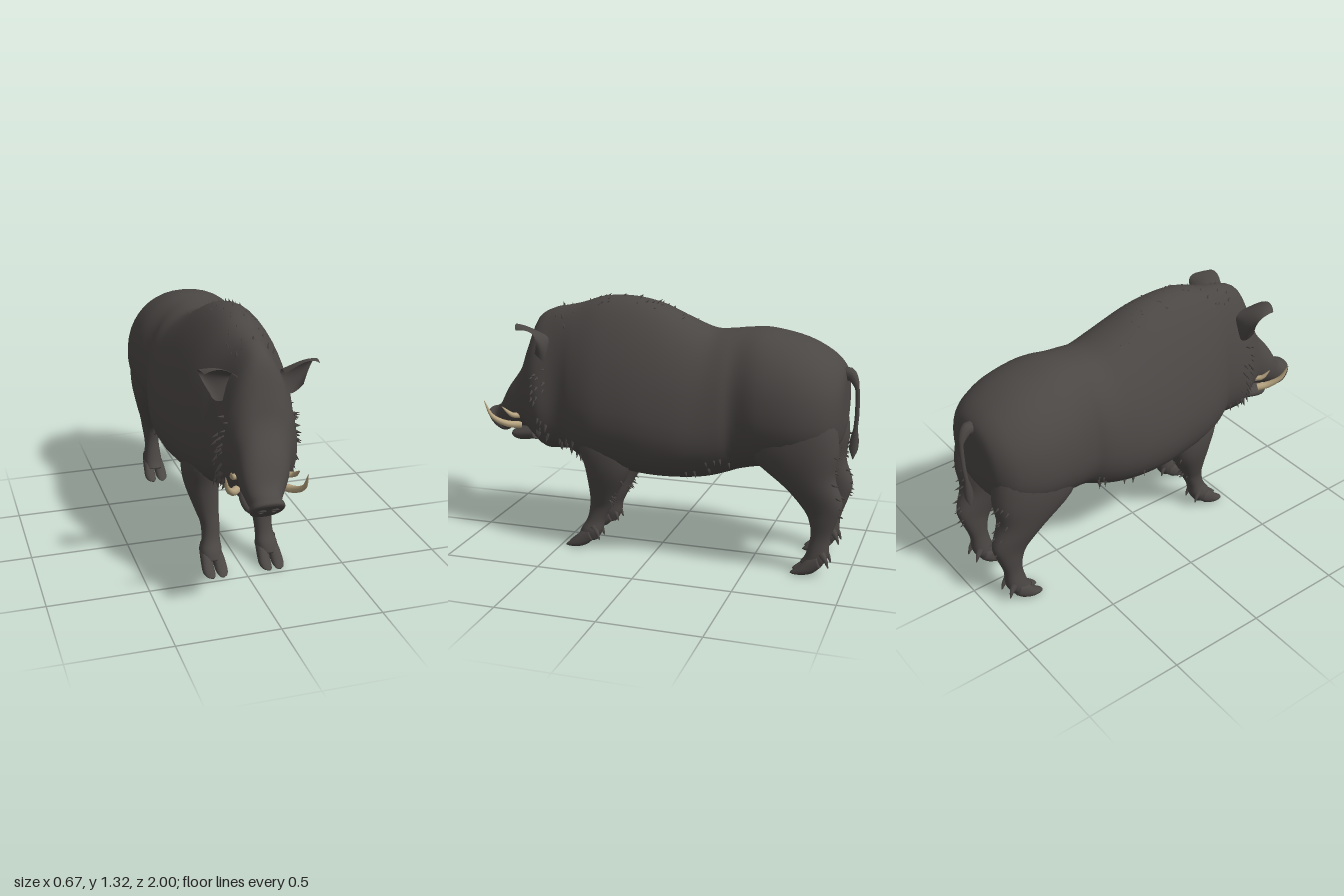
import * as THREE from 'three';
import { mergeGeometries } from 'three/addons/utils/BufferGeometryUtils.js';

const V = (x, y, z) => new THREE.Vector3(x, y, z);

// Section: [z, y of upper/front point, z, y of lower/rear point, half width, centre x, taper]
function sectionAt(rows, t) {
  const n = rows.length - 1, i = Math.min(Math.floor(t), n - 1), f = t - i;
  const a = rows[Math.max(i - 1, 0)], b = rows[i], c = rows[i + 1], d = rows[Math.min(i + 2, n)];
  return b.map((q, k) => {
    const m0 = (c[k] - a[k]) / 2, m1 = (d[k] - q) / 2, e = c[k] - q;
    return q + f * (m0 + f * (3 * e - 2 * m0 - m1 + f * (m0 + m1 - 2 * e)));
  });
}
const pow = (v) => Math.sign(v) * Math.abs(v) ** 0.9;

function surfacePoint(rows, t, angle) {
  const [z1, y1, z2, y2, w, x, taper] = sectionAt(rows, t);
  const s = pow(Math.sin(angle)), c = pow(Math.cos(angle));
  return V(x + w * c * (1 - taper * s), (y1 + y2) / 2 + s * (y1 - y2) / 2, (z1 + z2) / 2 + s * (z1 - z2) / 2);
}

// Smooth closed skin over a list of sections
function loft(rows, sides = 32, steps = 4) {
  const pos = [], idx = [], rings = (rows.length - 1) * steps;
  for (let i = 0; i <= rings; i++)
    for (let j = 0; j < sides; j++)
      pos.push(...surfacePoint(rows, i / steps, (j / sides) * Math.PI * 2).toArray());
  for (let i = 0; i < rings; i++)
    for (let j = 0; j < sides; j++) {
      const a = i * sides + j, b = i * sides + (j + 1) % sides;
      idx.push(a, b, b + sides, a, b + sides, a + sides);
    }
  [0, rings].forEach((ring, end) => {
    const [z1, y1, z2, y2, , x] = rows[end ? rows.length - 1 : 0], c = pos.length / 3;
    pos.push(x, (y1 + y2) / 2, (z1 + z2) / 2);
    for (let j = 0; j < sides; j++) {
      const a = ring * sides + j, b = ring * sides + (j + 1) % sides;
      idx.push(c, end ? a : b, end ? b : a);
    }
  });
  const g = new THREE.BufferGeometry();
  g.setAttribute('position', new THREE.Float32BufferAttribute(pos, 3));
  g.setIndex(idx);
  g.computeVertexNormals();
  return g;
}

// Tube whose radius follows a function of its length
function taperedTube(points, radius, steps = 20, sides = 10) {
  const curve = new THREE.CatmullRomCurve3(points), g = new THREE.TubeGeometry(curve, steps, 1, sides);
  const p = g.attributes.position, v = V(0, 0, 0);
  for (let i = 0; i < p.count; i++) {
    const t = Math.floor(i / (sides + 1)) / steps, c = curve.getPointAt(t);
    v.fromBufferAttribute(p, i).sub(c).multiplyScalar(radius(t)).add(c);
    p.setXYZ(i, v.x, v.y, v.z);
  }
  return g;
}

let seed = 7;
const rand = (lo, hi) => lo + (hi - lo) * ((seed = (seed * 16807) % 2147483647) / 2147483647);

// Short bristles scattered over part of a loft
function bristles(rows, t0, t1, a0, a1, count, length, lean) {
  const list = [];
  for (let i = 0; i < count; i++) {
    const t = rand(t0, t1), a = rand(a0, a1), p = surfacePoint(rows, t, a);
    const mid = surfacePoint(rows, t, 0).add(surfacePoint(rows, t, Math.PI)).multiplyScalar(0.5);
    const dir = p.clone().sub(mid).normalize().add(lean).normalize(), len = length * rand(0.7, 1.3);
    const g = new THREE.ConeGeometry(len * 0.25, len, 5);
    g.applyQuaternion(new THREE.Quaternion().setFromUnitVectors(V(0, 1, 0), dir));
    p.addScaledVector(dir, len * 0.25);
    list.push(g.translate(p.x, p.y, p.z));
  }
  return mergeGeometries(list);
}

// Deep cupped ear, opening forward and down, with a pointed upper tip
function ear(side) {
  const g = new THREE.PlaneGeometry(2, 1, 16, 12), p = g.attributes.position;
  const across = V(0.05, -0.84, -0.58), along = V(0.155, 0.04, 0.012), front = V(-0.1, -0.52, 0.78);
  for (let i = 0; i < p.count; i++) {
    const v = p.getX(i), u = p.getY(i) + 0.5;
    const w = 0.07 + 0.042 * Math.sin(Math.PI * Math.min(u * 0.85, 1)) - 0.025 * u ** 5;
    const q = V(0.12, 1.09, 0.575).addScaledVector(along, u * (1 - 0.17 * v - 0.13 * v * v))
      .addScaledVector(across, v * w).addScaledVector(front, 0.075 * v * v);
    p.setXYZ(i, q.x * side, q.y, q.z);
  }
  g.computeVertexNormals();
  return g;
}

export function createModel() {
  const model = new THREE.Group();
  const hide = new THREE.MeshStandardMaterial({ color: 0x4b4745, side: THREE.DoubleSide });
  hide.name = 'dark hide';
  const ivory = new THREE.MeshStandardMaterial({ color: 0xb9a682 });
  ivory.name = 'ivory';
  const add = (name, geometry, material = hide, parent = model) => {
    const m = new THREE.Mesh(geometry, material);
    m.name = name;
    parent.add(m);
    return m;
  };

  // Barrel from rump to shoulders, upright sections
  const barrel = [
    [-0.937, 0.96, 0.74, 0.12, 0.05], [-0.918, 1.02, 0.64, 0.2, 0.05], [-0.85, 1.085, 0.57, 0.275, 0.08],
    [-0.72, 1.148, 0.52, 0.316, 0.08], [-0.55, 1.183, 0.5, 0.312, 0.08], [-0.43, 1.177, 0.47, 0.278, 0.08],
    [-0.36, 1.168, 0.445, 0.293, 0.1], [-0.27, 1.165, 0.42, 0.308, 0.16], [-0.15, 1.21, 0.405, 0.32, 0.24],
    [0, 1.275, 0.4, 0.314, 0.32], [0.15, 1.305, 0.41, 0.297, 0.34], [0.3, 1.3, 0.43, 0.272, 0.34],
    [0.42, 1.262, 0.46, 0.232, 0.3],
  ].map(([z, top, low, w, taper]) => [z, top, z, low, w, 0, taper]);
  // Neck and head, turned slightly to its right, ending in a tilted snout
  const skin = [
    ...barrel, [0.5, 1.243, 0.47, 0.485, 0.2, 0, 0.3], [0.57, 1.228, 0.52, 0.485, 0.185, 0, 0.34],
    [0.66, 1.175, 0.61, 0.485, 0.18, 0, 0.34], [0.72, 1.03, 0.68, 0.53, 0.155, -0.005, 0.16],
    [0.765, 0.91, 0.735, 0.575, 0.134, -0.015, 0.08], [0.855, 0.79, 0.8, 0.57, 0.115, -0.035, 0.05],
    [0.915, 0.69, 0.85, 0.555, 0.088, -0.05, 0], [0.955, 0.66, 0.88, 0.54, 0.074, -0.058, 0],
    [0.985, 0.65, 0.89, 0.532, 0.08, -0.06, 0], [1, 0.638, 0.902, 0.53, 0.077, -0.06, 0],
    [0.996, 0.622, 0.914, 0.542, 0.058, -0.06, 0],
  ];
  add('bodyAndHead', loft(skin, 40));
  add('withersBristles', bristles(skin, 8, 11.4, 1.1, 2.04, 30, 0.018, V(0, 0.2, -1.4)));
  add('napeBristles', bristles(skin, 11.8, 14, 0.8, 2.34, 16, 0.024, V(0, 0.6, 0.2)));
  add('chestBristles', bristles(skin, 11, 14, -2.4, -0.74, 36, 0.036, V(0, -0.6, 0.1)));
  for (const s of [-1, 1]) {
    const [flank, cheek] = s < 0 ? [[-2.5, -2.2], [Math.PI - 0.2, Math.PI + 0.85]] : [[-0.95, -0.65], [-0.85, 0.2]];
    add('flankBristles', bristles(skin, 4.5, 8, ...flank, 8, 0.035, V(0, -0.6, -0.6)));
    add('cheekBristles', bristles(skin, 14.4, 15.3, ...cheek, 24, 0.036, V(0, -0.3, 0)));
    const nostril = add('nostril', new THREE.TorusGeometry(0.016, 0.005, 8, 16));
    nostril.position.set(-0.06 + s * 0.03, 0.582, 0.956);
    nostril.rotation.x = 0.82;
    add('ear', ear(s));
  }
  add('lowerJaw', loft([
    [0.7, 0.595, 0.68, 0.515, 0.1, -0.015, 0], [0.75, 0.58, 0.73, 0.508, 0.098, -0.025, 0],
    [0.81, 0.56, 0.79, 0.498, 0.085, -0.035, 0], [0.845, 0.545, 0.835, 0.505, 0.06, -0.04, 0],
    [0.86, 0.535, 0.855, 0.517, 0.025, -0.045, 0],
  ], 24));

  // Tusks: long lower pair and short upper pair
  const tusk = (name, r, ...pts) => add(name, taperedTube(pts, (t) => r * (1 - t ** 1.8) + 0.0015), ivory);
  tusk('leftTusk', 0.018, V(0.07, 0.6, 0.76), V(0.105, 0.61, 0.83), V(0.128, 0.65, 0.9), V(0.128, 0.73, 0.945));
  tusk('rightTusk', 0.018, V(-0.14, 0.6, 0.74), V(-0.172, 0.615, 0.79), V(-0.212, 0.66, 0.84), V(-0.23, 0.73, 0.87));
  tusk('leftShortTusk', 0.014, V(0.085, 0.655, 0.76), V(0.12, 0.665, 0.79), V(0.125, 0.705, 0.845));
  tusk('rightShortTusk', 0.014, V(-0.13, 0.66, 0.72), V(-0.16, 0.67, 0.75), V(-0.18, 0.71, 0.785));

  // Legs: [front z, y, rear z, y, half width, centre x]
  const frontRows = [
    [0.38, 0.66, 0.12, 0.66, 0.08, 0.168], [0.392, 0.56, 0.1, 0.54, 0.092, 0.172], [0.36, 0.44, 0.132, 0.42, 0.085, 0.168],
    [0.345, 0.3, 0.205, 0.29, 0.06, 0.15], [0.35, 0.22, 0.238, 0.22, 0.047, 0.138], [0.365, 0.15, 0.272, 0.15, 0.045, 0.14],
    [0.395, 0.1, 0.283, 0.09, 0.054, 0.146], [0.41, 0.06, 0.31, 0.04, 0.048, 0.147],
  ];
  const hindRows = [
    [-0.5, 0.8, -0.9, 0.83, 0.118, 0.17], [-0.47, 0.7, -0.925, 0.73, 0.13, 0.17], [-0.51, 0.58, -0.935, 0.62, 0.122, 0.17],
    [-0.68, 0.44, -0.922, 0.5, 0.088, 0.172], [-0.775, 0.33, -0.96, 0.38, 0.056, 0.168], [-0.805, 0.26, -0.942, 0.295, 0.046, 0.165],
    [-0.81, 0.19, -0.907, 0.19, 0.04, 0.162], [-0.79, 0.1, -0.9, 0.095, 0.05, 0.162], [-0.765, 0.06, -0.87, 0.04, 0.048, 0.162],
  ];
  for (const s of [-1, 1])
    for (const [name, base, tip] of [['frontLeg', frontRows, 0.475], ['hindLeg', hindRows, -0.72]]) {
      const leg = new THREE.Group();
      leg.name = name;
      model.add(leg);
      const rows = base.map((r) => [...r.slice(0, 5), r[5] * s, 0]), last = rows.length - 1;
      const footX = rows[last][5];
      add('limb', loft(rows, 24), hide, leg);
      add('legBristles', bristles(rows, 1.5, last - 3, -2.2, -0.9, 16, 0.028, V(0, -0.6, 0)), hide, leg);
      for (const k of [-1, 1]) {
        // Cloven toe and dewclaw
        const x = footX + k * 0.031;
        add('hoof', loft([
          [tip - 0.13, 0.11, tip - 0.15, 0.045, 0.024, x, 0], [tip - 0.085, 0.085, tip - 0.11, 0.012, 0.029, x, 0],
          [tip - 0.045, 0.045, tip - 0.06, 0, 0.03, x + k * 0.002, 0.1], [tip - 0.01, 0.015, tip - 0.02, 0, 0.022, x, 0.1],
          [tip, 0.006, tip, 0, 0.008, x - k * 0.004, 0],
        ], 16), hide, leg);
        add('dewclaw', taperedTube([V(x, 0.12, tip - 0.15), V(x + k * 0.006, 0.085, tip - 0.175), V(x + k * 0.008, 0.05, tip - 0.188)],
          (t) => 0.018 * (1 - t) + 0.003, 8, 8), hide, leg);
      }
    }

  // Thin hanging tail with a wide root and a tuft
  add('tail', taperedTube(
    [V(0, 0.97, -0.91), V(0, 0.985, -0.94), V(0, 0.93, -0.978), V(-0.005, 0.8, -0.987), V(-0.01, 0.68, -0.98), V(-0.01, 0.55, -0.975)],
    (t) => 0.011 + 0.028 * Math.max(0, 1 - t * 4) + (t > 0.68 ? 0.012 * Math.sin(((t - 0.68) / 0.32) * Math.PI) : 0) - (t > 0.9 ? (t - 0.9) * 0.1 : 0),
    40));
  return model;
}
